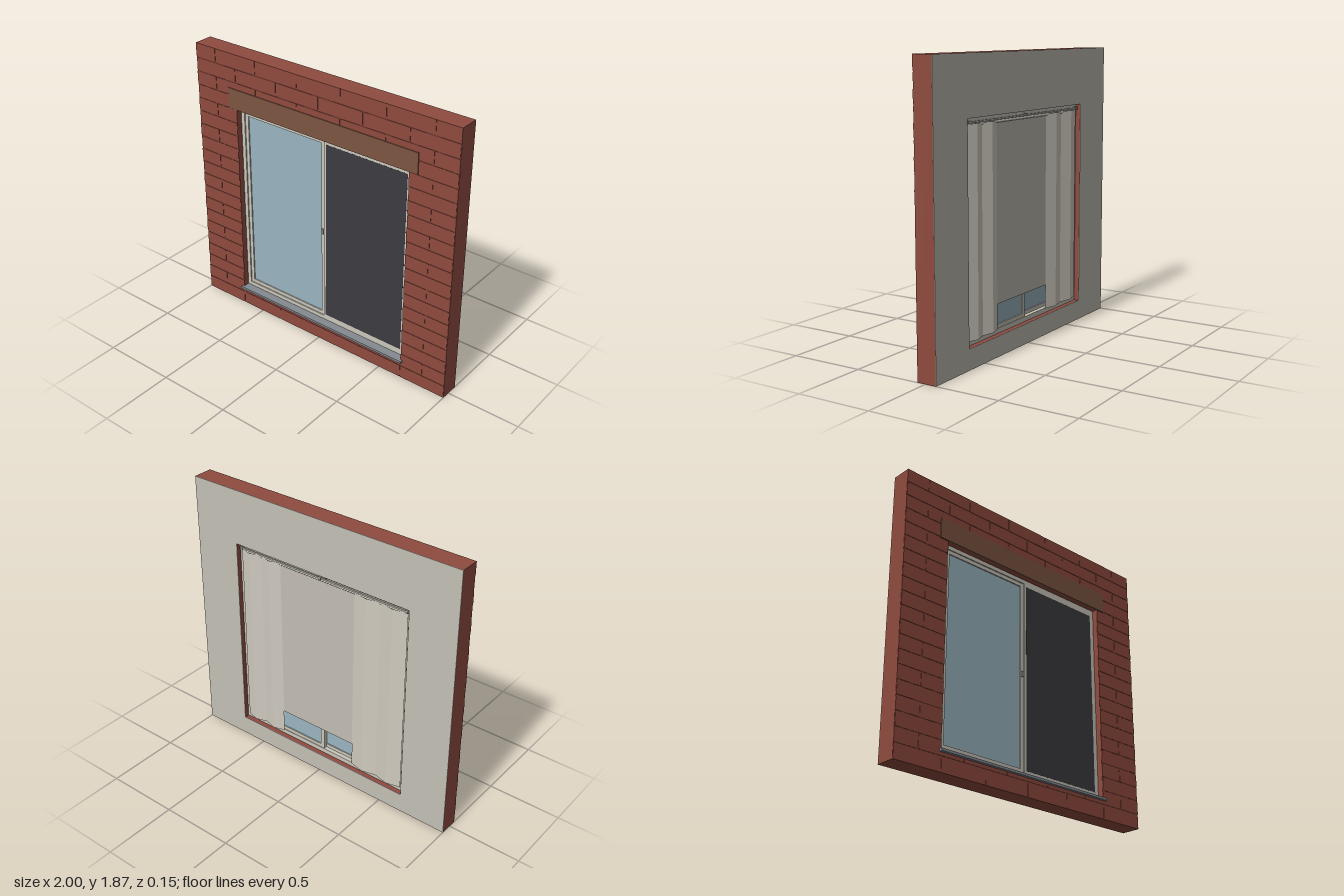
import * as THREE from 'three';

const mat = (name, color, side = THREE.FrontSide) => {
  const m = new THREE.MeshStandardMaterial({ color, side });
  m.name = name;
  return m;
};

export function createModel() {
  const model = new THREE.Group();
  model.name = 'windowInBrickWall';

  const brick = mat('brick red', 0x8f4b3f);
  const lintelBrown = mat('lintel brown', 0x7d5643);
  const plaster = mat('plaster', 0xc4c0b5);
  const cream = mat('frame cream', 0xcbc7bc);
  const glass = mat('glass blue', 0x9ab6c2);
  const mesh = mat('screen charcoal', 0x3c3b41);
  const metal = mat('sill grey', 0x858b92);
  const cloth = mat('curtain cloth', 0xd0cbc0, THREE.DoubleSide);
  const blindCloth = mat('blind cloth', 0xc2beb4);
  const handleGrey = mat('handle grey', 0xa8a59c);

  // Box given by its limits on each axis
  const box = (name, material, x0, x1, y0, y1, z0, z1, parent = model) => {
    const m = new THREE.Mesh(new THREE.BoxGeometry(x1 - x0, y1 - y0, z1 - z0), material);
    m.position.set((x0 + x1) / 2, (y0 + y1) / 2, (z0 + z1) / 2);
    m.name = name;
    parent.add(m);
    return m;
  };

  // Rectangular plate with a rectangular hole
  const ring = (name, material, [x0, x1, y0, y1], [a0, a1, b0, b1], z0, z1) => {
    const s = new THREE.Shape([[x0, y0], [x1, y0], [x1, y1], [x0, y1]].map(p => new THREE.Vector2(...p)));
    s.holes.push(new THREE.Path([[a0, b0], [a0, b1], [a1, b1], [a1, b0]].map(p => new THREE.Vector2(...p))));
    const g = new THREE.ExtrudeGeometry(s, { depth: z1 - z0, bevelEnabled: false });
    const m = new THREE.Mesh(g, material);
    m.position.z = z0;
    m.name = name;
    model.add(m);
  };

  // Wall core and thin inner plaster, both with the window opening
  const H = 1.87, FRONT = 0.057;
  const open = [-0.667, 0.667, 0.133, 1.497];
  ring('wallCore', brick, [-1, 1, 0, H], open, -0.074, FRONT - 0.003);
  ring('innerPlaster', plaster, [-1, 1, 0, H], open, -0.077, -0.074);

  // Brick courses in running bond, cut around the opening
  const bricks = new THREE.Group();
  bricks.name = 'brickCourses';
  model.add(bricks);
  const rows = 20, rowH = H / rows, len = 1 / 3, gap = 0.005;
  const addBrick = (x0, x1, y0, y1) => {
    if (x1 - x0 > 0.004 && y1 - y0 > 0.004) box('brick', brick, x0, x1, y0, y1, FRONT - 0.003, FRONT, bricks);
  };
  for (let r = 0; r < rows; r++) {
    const y0 = r * rowH + (r ? gap : 0), y1 = (r + 1) * rowH - (r < rows - 1 ? gap : 0);
    for (let i = 0; i < 7; i++) {
      const start = -1 + (i - (r % 2) / 2) * len;
      const x0 = Math.max(-1, start + gap / 2), x1 = Math.min(1, start + len - gap / 2);
      if (x1 <= x0) continue;
      const [a0, a1, b0, b1] = open;
      if (x1 <= a0 || x0 >= a1 || y1 <= b0 || y0 >= b1) {
        addBrick(x0, x1, y0, y1);
        continue;
      }
      addBrick(x0, a0, y0, y1);
      addBrick(a1, x1, y0, y1);
      const c0 = Math.max(x0, a0), c1 = Math.min(x1, a1);
      addBrick(c0, c1, y0, b0);
      addBrick(c0, c1, b1, y1);
    }
  }

  // Lintel and outer sill
  box('lintel', lintelBrown, -0.73, 0.73, 1.495, 1.635, 0.05, 0.063);
  box('sillSlab', metal, -0.667, 0.667, 0.125, 0.138, 0.01, 0.058);
  box('sillNose', metal, -0.68, 0.68, 0.122, 0.138, 0.057, 0.077);

  // Outer window frame
  ring('windowFrame', cream, open, [-0.64, 0.64, 0.165, 1.47], -0.042, 0.016);

  // Sliding sashes: the right one (-x) runs in front of the left one
  const sash = (name, x0, x1, z) => {
    ring(name + 'Frame', cream, [x0, x1, 0.163, 1.472], [x0 + 0.026, x1 - 0.026, 0.19, 1.445], z - 0.011, z + 0.011);
    box(name + 'Glass', glass, x0 + 0.02, x1 - 0.02, 0.185, 1.45, z - 0.003, z + 0.003);
  };
  sash('rightSash', -0.641, 0.014, -0.003);
  sash('leftSash', -0.014, 0.641, -0.027);

  // Insect screen in front of the left sash
  ring('screenFrame', cream, [0.014, 0.645, 0.16, 1.475], [0.03, 0.632, 0.18, 1.45], 0.002, 0.017);
  box('insectScreen', mesh, 0.029, 0.634, 0.18, 1.45, 0.012, 0.0175);

  // Sash handle
  box('sashHandle', handleGrey, -0.008, 0.008, 0.8, 0.836, 0.008, 0.018);

  // Roller blind with its tube
  box('blind', blindCloth, -0.6, 0.6, 0.325, 1.45, -0.049, -0.046);
  const tube = new THREE.Mesh(new THREE.CylinderGeometry(0.008, 0.008, 1.24, 12).rotateZ(Math.PI / 2), cream);
  tube.position.set(0, 1.455, -0.049);
  tube.name = 'blindTube';
  model.add(tube);

  // Curtain track with end stops and a middle bracket
  box('curtainTrack', cream, -0.645, 0.645, 1.466, 1.476, -0.064, -0.055);
  for (const x of [-0.64, 0, 0.64]) box('trackBracket', handleGrey, x - 0.01, x + 0.01, 1.463, 1.482, -0.066, -0.042);

  // Pleated curtains: a folded strip running from the +x edge to the -x edge
  const curtain = (name, xa, xb) => {
    const folds = 4, pos = [], idx = [];
    for (let i = 0; i <= folds; i++) {
      const x = xa + (xb - xa) * i / folds, z = i % 2 ? -0.074 : -0.051;
      pos.push(x, 0.165, z, x, 1.462, z);
      if (i < folds) idx.push(2 * i, 2 * i + 1, 2 * i + 2, 2 * i + 2, 2 * i + 1, 2 * i + 3);
    }
    let g = new THREE.BufferGeometry();
    g.setAttribute('position', new THREE.Float32BufferAttribute(pos, 3));
    g.setIndex(idx);
    g = g.toNonIndexed();
    g.computeVertexNormals();
    const m = new THREE.Mesh(g, cloth);
    m.name = name;
    model.add(m);
  };
  curtain('leftCurtain', 0.645, 0.325);
  curtain('rightCurtain', -0.255, -0.645);

  return model;
}
